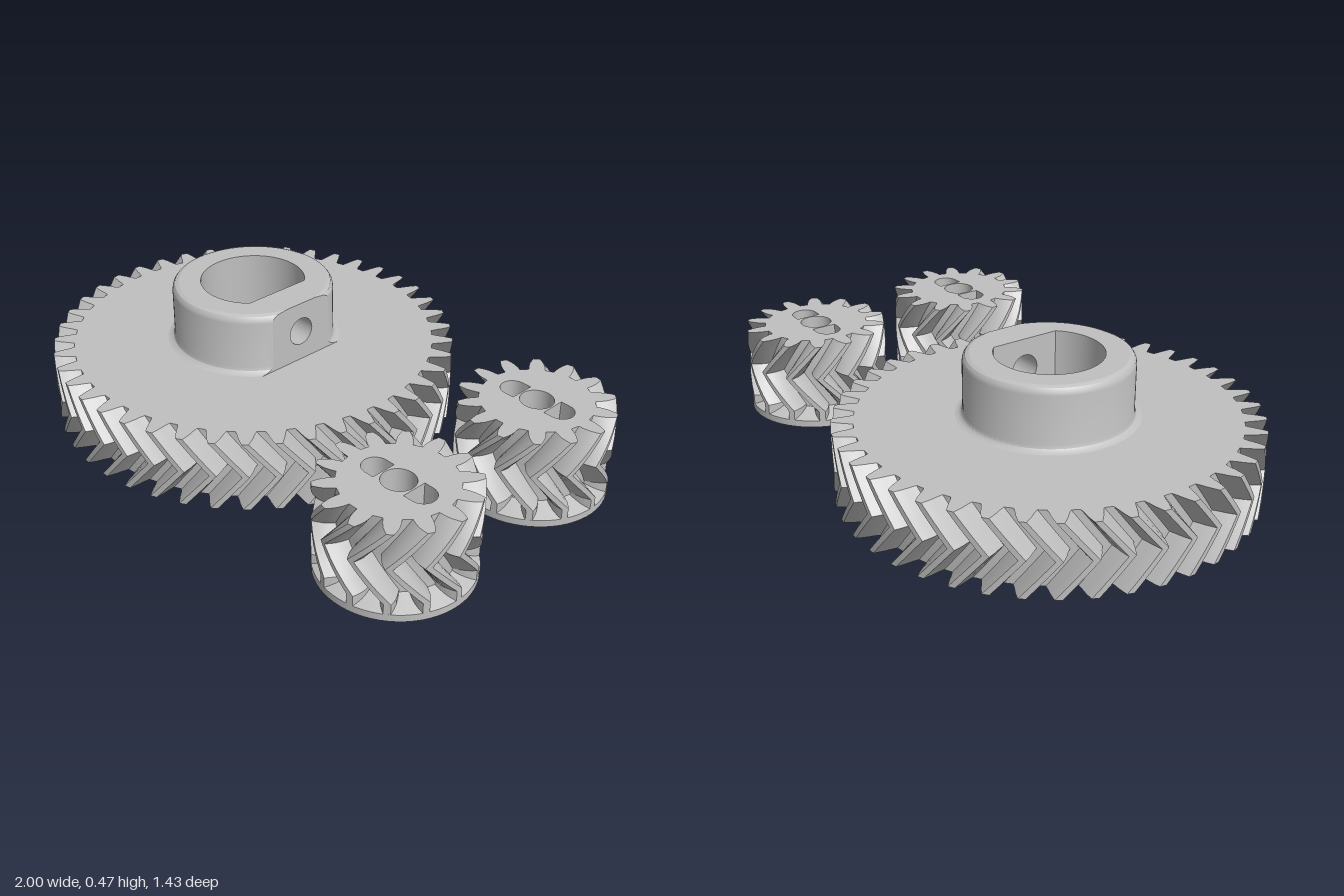
import * as THREE from 'three';
import { toCreasedNormals } from 'three/addons/utils/BufferGeometryUtils.js';
import { ParametricGeometry } from 'three/addons/geometries/ParametricGeometry.js';

const plastic = new THREE.MeshStandardMaterial({ color: 0xc0c0c0, side: THREE.DoubleSide });
plastic.name = 'grey plastic';
const TAU = Math.PI * 2;

function add(group, name, geometry) {
  const mesh = new THREE.Mesh(geometry, plastic);
  mesh.name = name;
  group.add(mesh);
  return mesh;
}

// Surface over a grid of columns and rows; f(column, row, target)
function sheet(columns, rows, f) {
  const g = new ParametricGeometry(
    (u, v, p) => f(Math.round(u * columns), Math.round(v * rows), p), columns, rows);
  return toCreasedNormals(g, 0.5);
}

// Points on an arc from a to b
function arc(r, a, b, n, cx = 0) {
  return Array.from({ length: n + 1 }, (_, i) => {
    const t = a + (b - a) * i / n;
    return new THREE.Vector2(cx + r * Math.cos(t), r * Math.sin(t));
  });
}

// Inward-facing wall that follows an outline from y0 to y1
function holeWall(points, y0, y1, closed = true) {
  const n = points.length;
  return sheet(closed ? n : n - 1, 1, (i, j, p) => {
    const q = points[(n * 2 - 1 - i) % n];
    p.set(q.x, j ? y1 : y0, -q.y);
  });
}

// Flat horizontal face with holes
function face(outline, holes, y, down = false) {
  const shape = new THREE.Shape(outline);
  holes.forEach(h => shape.holes.push(new THREE.Path(h)));
  const g = new THREE.ShapeGeometry(shape);
  if (down) {
    const idx = g.index.array;
    for (let i = 0; i < idx.length; i += 3) [idx[i], idx[i + 1]] = [idx[i + 1], idx[i]];
    g.computeVertexNormals();
  }
  return g.rotateX(-Math.PI / 2).translate(0, y, 0);
}

// Outline of a spur gear: [radius, half thickness] steps on each tooth
function gearOutline(teeth, steps) {
  const pts = [];
  for (let i = 0; i < teeth; i++) {
    const flank = steps.map(([r, t]) => [r, t / r]);
    const tooth = [...flank.map(([r, a]) => [r, -a]), ...flank.slice().reverse()];
    for (const [r, a] of tooth) {
      const t = i * TAU / teeth + a;
      pts.push(new THREE.Vector2(r * Math.cos(t), r * Math.sin(t)));
    }
  }
  return pts;
}

// Herringbone sides: the twist runs out to the middle and back again
function herringbone(outline, y0, y1, twist, foot = y0) {
  const n = outline.length, slices = 8, extra = foot < y0 ? 1 : 0;
  return sheet(n, slices + extra, (i, j, p) => {
    const s = Math.max(0, j - extra) / slices;
    const a = twist * (1 - Math.abs(2 * s - 1));
    const q = outline[i % n], c = Math.cos(a), d = Math.sin(a);
    p.set(q.x * c - q.y * d, j < extra ? foot : y0 + (y1 - y0) * s, -(q.x * d + q.y * c));
  });
}

function createLargeGear() {
  const g = new THREE.Group();
  g.name = 'largeGear';
  const H = 0.255, top = 0.472, flat = 0.252, boreR = 0.183, boreFlat = 0.132;
  const outline = gearOutline(42,
    [[0.64, 0.034], [0.66, 0.0275], [0.678, 0.0235], [0.696, 0.0178], [0.713, 0.0115]]);
  const b = Math.acos(boreFlat / boreR);
  const bore = arc(boreR, b, TAU - b, 64);

  add(g, 'largeGearTeeth', herringbone(outline, 0, H, TAU / 42));
  add(g, 'largeGearTop', face(outline, [bore], H));
  add(g, 'largeGearBottom', face(outline, [bore], 0, true));
  add(g, 'boreWall', holeWall(bore, 0, top, false));

  // Collar: round profile with a fillet and a rounded rim, cut off by a flat
  const profile = [[0.308, H], [0.296, 0.258], [0.287, 0.266], [0.283, 0.278], [0.283, 0.444],
    [0.2805, 0.457], [0.273, 0.467], [0.26, top]];
  const N = 72;
  add(g, 'collarWall', sheet(N, profile.length - 1, (i, j, p) => {
    const [r, y] = profile[j], a = Math.acos(flat / r);
    const t = a + (TAU - 2 * a) * i / N;
    p.set(r * Math.cos(t), y, -r * Math.sin(t));
  }));
  const rim = Math.acos(flat / 0.26);
  add(g, 'collarTop', face(arc(0.26, rim, TAU - rim, N), [bore], top));

  // Flats with the set screw hole
  const screw = arc(0.05, 0, TAU, 32).slice(0, -1).map(p => p.add(new THREE.Vector2(0, 0.364)));
  const half = profile.map(([r, y]) => new THREE.Vector2(Math.sqrt(r * r - flat * flat), y));
  const outer = new THREE.Shape([...half, ...half.map(p => new THREE.Vector2(-p.x, p.y)).reverse()]);
  outer.holes.push(new THREE.Path(screw));
  add(g, 'collarFlat', new THREE.ShapeGeometry(outer).rotateY(Math.PI / 2).translate(flat, 0, 0));
  const w = boreR * Math.sin(b);
  const inner = new THREE.Shape([[-w, 0], [w, 0], [w, top], [-w, top]].map(p => new THREE.Vector2(...p)));
  inner.holes.push(new THREE.Path(screw));
  add(g, 'boreFlat', new THREE.ShapeGeometry(inner).rotateY(-Math.PI / 2).translate(boreFlat, 0, 0));
  add(g, 'setScrewHole', new THREE.CylinderGeometry(0.05, 0.05, flat - boreFlat, 32, 1, true)
    .rotateZ(Math.PI / 2).translate((flat + boreFlat) / 2, 0.364, 0));
  return g;
}

function createSmallGear() {
  const g = new THREE.Group();
  g.name = 'smallGear';
  const top = 0.315, R = 0.257, foot = 0.025;
  const outline = gearOutline(14,
    [[0.187, 0.027], [0.205, 0.0265], [0.226, 0.0235], [0.243, 0.0175], [R, 0.011]]);
  // Shaft hole between two slots with rounded outer ends
  const slot = [new THREE.Vector2(0.062, -0.045), ...arc(0.045, -Math.PI / 2, Math.PI / 2, 12, 0.095),
    new THREE.Vector2(0.062, 0.045)];
  const holes = [arc(0.056, 0, TAU, 32).slice(0, -1), slot,
    slot.map(p => new THREE.Vector2(-p.x, p.y)).reverse()];

  add(g, 'smallGearTeeth', herringbone(outline, 0.061, top, -TAU / 14, foot));
  add(g, 'smallGearTop', face(outline, holes, top));
  holes.forEach((h, i) => add(g, i ? 'slotWall' : 'shaftHoleWall', holeWall(h, 0, top)));

  // Base flange sloping up into the tooth gaps
  const rings = [[R, 0], [R, foot], [0.185, 0.052]];
  add(g, 'flange', sheet(64, 2, (i, j, p) => {
    const [r, y] = rings[j], t = TAU * i / 64;
    p.set(r * Math.cos(t), y, -r * Math.sin(t));
  }));
  add(g, 'flangeBottom', face(arc(R, 0, TAU, 64).slice(0, -1), holes, 0, true));
  return g;
}

export function createModel() {
  const model = new THREE.Group();
  model.name = 'herringboneGearSet';
  const large = createLargeGear();
  large.position.x = -0.287;
  model.add(large);
  for (const z of [0.325, -0.316]) {
    const small = createSmallGear();
    small.position.set(0.743, 0, z);
    model.add(small);
  }
  return model;
}
